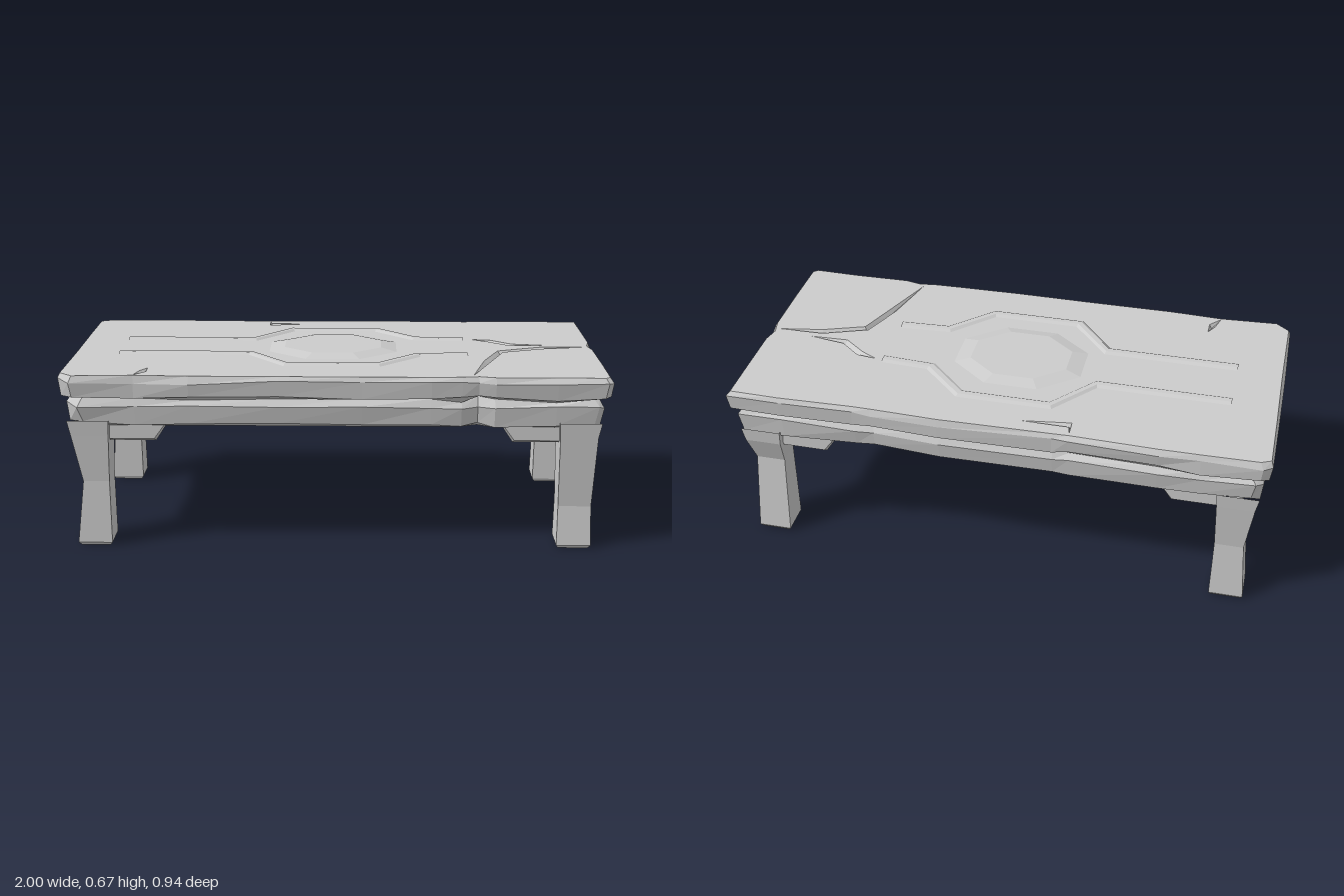
import * as THREE from 'three';

const material = new THREE.MeshStandardMaterial({ color: 0xcccccc, flatShading: true });

let seed = 7;
const rand = () => (seed = (seed * 16807) % 2147483647) / 2147483647;
const jitter = (a) => (rand() - 0.5) * 2 * a;

function meshFrom(positions, name) {
  const g = new THREE.BufferGeometry();
  g.setAttribute('position', new THREE.Float32BufferAttribute(positions, 3));
  g.computeVertexNormals();
  const m = new THREE.Mesh(g, material);
  m.name = name;
  return m;
}

// Adds a triangle turned so that it faces up (dir 1) or down (dir -1)
function pushFacing(out, a, b, c, dir) {
  const ny = (b[2] - a[2]) * (c[0] - a[0]) - (b[0] - a[0]) * (c[2] - a[2]);
  if (ny * dir >= 0) out.push(...a, ...b, ...c);
  else out.push(...a, ...c, ...b);
}

// Joins closed loops, ordered bottom to top, with quads
function skin(out, loops) {
  for (let l = 0; l < loops.length - 1; l++) {
    const lo = loops[l], hi = loops[l + 1], n = lo.length;
    for (let i = 0; i < n; i++) {
      const j = (i + 1) % n;
      out.push(...lo[i], ...lo[j], ...hi[j], ...lo[i], ...hi[j], ...hi[i]);
    }
  }
}

function cap(out, loop, dir, holes = []) {
  const to2 = (p) => new THREE.Vector2(p[0], -p[2]);
  const all = [loop, ...holes].flat();
  const faces = THREE.ShapeUtils.triangulateShape(loop.map(to2), holes.map((h) => h.map(to2)));
  for (const [a, b, c] of faces) pushFacing(out, all[a], all[b], all[c], dir);
}

// Path [x, z] shifted sideways by d at height y
function shifted(path, d, y) {
  return path.map(([x, z], i) => {
    const p = path[Math.max(i - 1, 0)], q = path[Math.min(i + 1, path.length - 1)];
    const dx = q[0] - p[0], dz = q[1] - p[1], len = Math.hypot(dx, dz);
    return [x - (dz / len) * d, y, z + (dx / len) * d];
  });
}

const TOP = 0.657;

// Weathered slab: thick lip, groove and frieze, with cracks cut in the top
function tableTop() {
  const X = 1, Z = 0.472;
  const outline = [];
  for (const x of [-0.95, -0.72, -0.52, -0.2, 0.1, 0.35, 0.46, 0.52, 0.58, 0.8, 0.98]) outline.push([x, Z]);
  for (const z of [0.46, 0.25, 0.03, -0.03, -0.09, -0.3]) outline.push([X, z]);
  for (const x of [1, 0.8, 0.52, 0.45, 0.2, -0.22, -0.28, -0.6, -0.75, -0.97]) outline.push([x, -Z]);
  for (const z of [-0.45, -0.2, 0.1, 0.43]) outline.push([-X, z]);

  // Chips: x, z, radius, depth at the lip, depth at the frieze
  const chips = [
    [0.52, Z, 0.07, 0.012, 0.03], [1, -0.03, 0.07, 0.012, 0.035],
    [-0.72, Z, 0.1, 0.012, 0], [-0.25, -Z, 0.06, 0.012, 0.01], [0.48, -Z, 0.06, 0.01, 0.02],
  ];
  const levels = [[0.06, 0.46], [0.034, 0.472], [0.022, 0.54], [0.04, 0.565],
    [0.006, 0.58], [0, 0.635], [0.01, TOP]];
  const loops = levels.map(([inset, y], l) => outline.map(([x, z]) => {
    let d = inset + (l === 0 ? 0 : Math.abs(jitter(0.007)));
    for (const [cx, cz, r, lip, low] of chips) {
      d += Math.max(0, 1 - Math.hypot(x - cx, z - cz) / r) * (l > 3 ? lip : low);
    }
    const px = Math.abs(x) > 0.94 ? x - Math.sign(x) * d : x;
    const pz = Math.abs(z) > 0.42 ? z - Math.sign(z) * d : z;
    const wobble = l === 0 || l === levels.length - 1 ? 0 : jitter(0.009);
    return [px, y + wobble, pz];
  }));

  const cracks = [
    [[0.96, -0.01], [0.79, 0.01], [0.63, 0.07], [0.57, 0.22], [0.5, 0.43]],
    [[0.53, -0.13], [0.6, -0.11], [0.68, -0.045], [0.82, -0.035]],
    [[-0.68, 0.34], [-0.69, 0.39], [-0.72, 0.44]],
    [[-0.28, -0.44], [-0.275, -0.39], [-0.1, -0.4]],
  ];
  const out = [], holes = [];
  skin(out, loops);
  cap(out, loops[0], -1);
  for (const path of cracks) {
    const n = path.length;
    const left = shifted(path, 0.016, TOP), right = shifted(path, -0.011, TOP);
    const mid = shifted(path, 0, TOP - 0.015);
    for (const end of [0, n - 1]) left[end] = right[end] = mid[end] = [path[end][0], TOP, path[end][1]];
    holes.push([...left, ...right.slice(1, -1).reverse()]);
    for (const side of [left, right]) {
      for (let i = 0; i < n - 1; i++) {
        pushFacing(out, side[i], side[i + 1], mid[i + 1], 1);
        pushFacing(out, side[i], mid[i + 1], mid[i], 1);
      }
    }
  }
  cap(out, loops[loops.length - 1], 1, holes);
  return meshFrom(out, 'tableTop');
}

// Low raised band with sloping sides along a path
function band(path, w, h, name) {
  const out = [];
  const rows = [[-w, 0], [-w * 0.45, h], [w * 0.45, h], [w, 0]].map(([d, y]) => shifted(path, d, TOP + y));
  const last = path.length - 1;
  for (let r = 0; r < 3; r++) {
    for (let i = 0; i < last; i++) {
      pushFacing(out, rows[r][i], rows[r][i + 1], rows[r + 1][i + 1], 1);
      pushFacing(out, rows[r][i], rows[r + 1][i + 1], rows[r + 1][i], 1);
    }
  }
  const mesh = meshFrom(out, name);
  mesh.material = bandMaterial;
  return mesh;
}
const bandMaterial = material.clone();
bandMaterial.side = THREE.DoubleSide;

// Four-sided leg; rows are [y, inner x, outer x, inner z, outer z]
function leg(sx, sz, rows, name) {
  const loops = rows.map(([y, x0, x1, z0, z1]) => {
    const ring = [[x0, y, z1], [x1, y, z1], [x1, y, z0], [x0, y, z0]].map(([x, yy, z]) => [x * sx, yy, z * sz]);
    return sx * sz < 0 ? ring.reverse() : ring;
  });
  const out = [];
  skin(out, loops);
  cap(out, loops[0], -1);
  return meshFrom(out, name);
}

// Sloping corner brace, running along +x from the leg
function brace(length, drop, name) {
  const s = new THREE.Shape();
  s.moveTo(0, 0.475).lineTo(0, drop).lineTo(length - 0.05, drop).lineTo(length, 0.475).closePath();
  const g = new THREE.ExtrudeGeometry(s, {
    depth: 0.05, bevelEnabled: true, bevelSize: 0.01, bevelOffset: -0.01, bevelThickness: 0.015, bevelSegments: 1,
  });
  g.translate(0, 0, -0.025);
  const m = new THREE.Mesh(g, material);
  m.name = name;
  return m;
}

export function createModel() {
  const model = new THREE.Group();
  model.name = 'stoneTable';
  model.add(tableTop());

  // Relief on the top: central plate and bands around it
  const plate = new THREE.Mesh(new THREE.CylinderGeometry(0.19, 0.25, 0.013, 8, 1), material);
  plate.name = 'centrePlate';
  plate.geometry.rotateY(Math.PI / 8);
  plate.geometry.scale(1.05, 1, 0.85);
  plate.position.set(-0.01, TOP + 0.0065, 0);
  model.add(plate);
  for (const s of [1, -1]) {
    const path = [[-0.82, 0.115], [-0.32, 0.115], [-0.18, 0.285], [0.16, 0.285], [0.31, 0.135], [0.5, 0.125]];
    model.add(band(path.map(([x, z]) => [x, z * s]), 0.024, 0.007, 'reliefBand'));
  }

  // Legs, each with its own dents halfway up
  const dents = { '1,1': [0.16, 0.945, 0.42], '-1,1': [0.25, 0.92, 0.43], '1,-1': [0.33, 0.935, 0.41], '-1,-1': [0.24, 0.93, 0.425] };
  for (const sx of [1, -1]) {
    for (const sz of [1, -1]) {
      const [y, x1, z1] = dents[`${sx},${sz}`];
      const side = (sz > 0 ? 'front' : 'back') + (sx > 0 ? 'Left' : 'Right');
      model.add(leg(sx, sz, [
        [0, 0.83, 0.938, 0.325, 0.43], [0.012, 0.822, 0.948, 0.318, 0.438],
        [y, 0.824, x1, 0.317, z1], [0.43, 0.818, 0.955, 0.31, 0.445], [0.485, 0.815, 0.966, 0.305, 0.45],
      ], side + 'Leg'));

      const along = brace(0.24, 0.4, side + 'LongBrace');
      along.position.set(sx * 0.84, 0, sz * 0.375);
      if (sx > 0) along.rotation.y = Math.PI;
      const across = brace(0.25, 0.388, side + 'ShortBrace');
      across.position.set(sx * 0.88, 0, sz * 0.33);
      across.rotation.y = sz * Math.PI / 2;
      model.add(along, across);
    }
  }
  return model;
}
